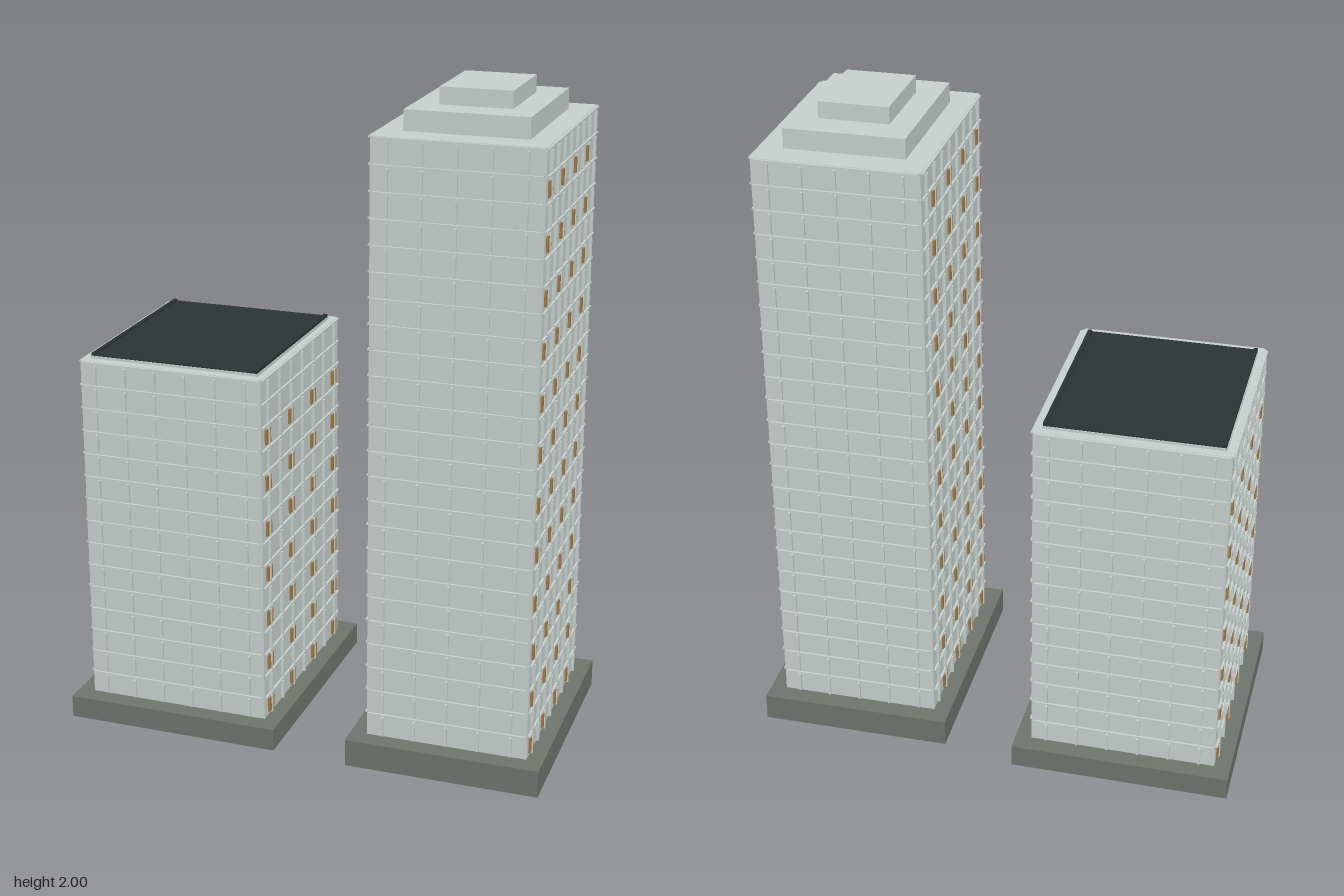
import * as THREE from 'three';
import { mergeGeometries } from 'three/addons/utils/BufferGeometryUtils.js';

const mat = (name, color) => Object.assign(new THREE.MeshStandardMaterial({ color }), { name });

export function createModel() {
  const wall = mat('pale concrete', 0xc5d0cc);
  const plinth = mat('dark stone', 0x6e746c);
  const roof = mat('dark roofing', 0x2a3434);
  const lit = mat('lit window', 0xa5783f);

  const box = (w, h, d, x, y, z) => new THREE.BoxGeometry(w, h, d).translate(x, y, z);
  const add = (group, name, geos, material) => {
    const mesh = new THREE.Mesh(mergeGeometries([].concat(geos)), material);
    mesh.name = name;
    group.add(mesh);
  };

  // One tower: plinth, shaft, thin floor ledges, mullions and lit windows
  function tower(name, o) {
    const g = new THREE.Group();
    g.name = name;
    g.position.set(o.x, 0, o.z);
    g.rotation.y = o.turn;
    add(g, 'plinth', box(o.baseW, o.baseH - 0.001, o.baseD, 0, o.baseH / 2 + 0.0005, 0), plinth);
    add(g, 'shaft', box(o.w, o.top, o.d, 0, o.top / 2, 0), wall);

    const ledges = [], mullions = [], windows = [];
    const step = (o.top - o.baseH) / o.floors;
    for (let side = 0; side < 4; side++) {
      const along = side % 2 ? o.d : o.w;          // odd sides face +x and -x
      const out = (side % 2 ? o.w : o.d) / 2;
      const cols = side % 2 ? o.colsD : o.colsW;
      const put = (list, w, h, depth, u, y) =>
        list.push(box(w, h, depth * 2, u, y, out).rotateY(side * Math.PI / 2));
      for (let f = 0; f < o.floors; f++) {
        const y = o.baseH + step * (f + 0.45);
        put(ledges, along - 0.012, 0.005, 0.007, 0, y + step / 2);
        for (let c = 0; c < cols; c++) {
          const u = ((c + 0.5) / cols - 0.5) * along;
          put(mullions, 0.007, step - 0.015, 0.009, u, y);
          // lit windows on every second floor and bay, counted from the front
          const bay = side === 1 ? c : cols - 1 - c;
          if (side % 2 && f % 2 === 0 && f < o.floors - 1 && bay % 2 === 0)
            put(windows, 0.037, 0.045, 0.006, u, y);
        }
      }
    }
    add(g, 'floorLedges', ledges, wall);
    add(g, 'mullions', mullions, wall);
    add(g, 'litWindows', windows, lit);
    return g;
  }

  const model = new THREE.Group();
  model.name = 'towerBlocks';

  // Tall tower with a stepped crown
  const tall = tower('tallTower', {
    x: 0.451, z: 0.031, turn: -0.0105, baseW: 0.587, baseD: 0.752, baseH: 0.085,
    w: 0.488, d: 0.636, top: 1.89, floors: 24, colsW: 5, colsD: 8,
  });
  add(tall, 'lowerCrown', box(0.355, 0.06, 0.46, 0, 1.92, 0), wall);
  add(tall, 'upperCrown', box(0.208, 0.05, 0.268, 0, 1.975, 0), wall);

  // Short tower with a flat dark roof
  const short = tower('shortTower', {
    x: -0.405, z: -0.012, turn: -0.02, baseW: 0.669, baseD: 0.786, baseH: 0.07,
    w: 0.57, d: 0.67, top: 1.155, floors: 15, colsW: 6, colsD: 7,
  });
  add(short, 'roofCurb', box(0.53, 0.008, 0.61, 0, 1.159, 0), wall);
  add(short, 'roofDeck', box(0.526, 0.004, 0.606, 0, 1.165, 0), roof);
  add(short, 'roofRails', [-1, 1].map(s => box(0.012, 0.009, 0.606, s * 0.257, 1.1675, 0)), roof);

  model.add(tall, short);
  return model;
}
